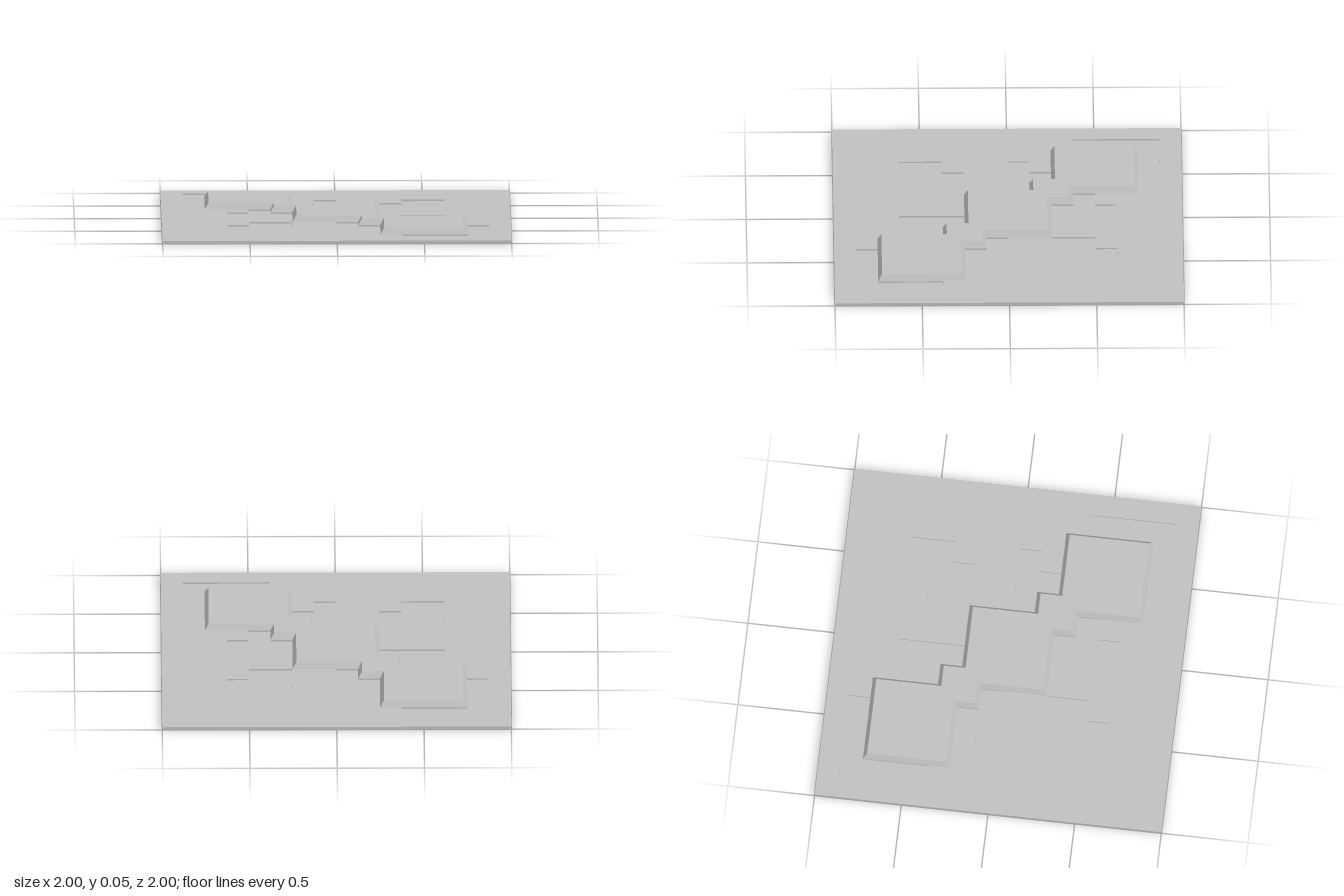
import * as THREE from 'three';

const FLOOR = 0.008, PLATE_TOP = 0.017, BOSS_TOP = 0.054, SLOPE = 0.022;

// Plan points are [x, z]; shapes are drawn with z flipped, then laid flat.
const toVectors = (points) => points.map(([x, z]) => new THREE.Vector2(x, -z));
const halfTurn = (points) => points.map(([x, z]) => [-x, -z]);

function layFlat(shape, bottom, top) {
  const geometry = new THREE.ExtrudeGeometry(shape, { depth: top - bottom, bevelEnabled: false });
  geometry.rotateX(-Math.PI / 2);
  geometry.translate(0, bottom, 0);
  return geometry;
}

// Half of the stepped chain of squares; the other half is its half turn
const chainHalf = [
  [-0.75, -0.75], [-0.75, -0.25], [-0.375, -0.25], [-0.375, -0.125], [-0.25, -0.125],
  [-0.25, 0.25], [0.125, 0.25], [0.125, 0.375], [0.25, 0.375], [0.25, 0.75],
];

// Shallow recesses beside the chain; each is repeated by a half turn
const recesses = [
  [[-0.375, -0.75], [-0.375, -0.875], [-0.875, -0.875], [-0.875, -0.375], [-0.75, -0.375], [-0.75, -0.75]],
  [[-0.25, 0], [-0.625, 0], [-0.625, -0.125], [-0.5, -0.125], [-0.5, -0.25], [-0.375, -0.25],
    [-0.375, -0.125], [-0.25, -0.125]],
  [[-0.25, 0.25], [-0.5, 0.25], [-0.5, 0.375], [-0.625, 0.375], [-0.625, 0.625], [-0.375, 0.625],
    [-0.375, 0.5], [-0.25, 0.5]],
  [[0, 0.25], [0, 0.625], [0.125, 0.625], [0.125, 0.5], [0.25, 0.5], [0.25, 0.375],
    [0.125, 0.375], [0.125, 0.25]],
];

// Raised block whose top outline is drawn inwards to give sloping sides
function bossGeometry() {
  const outline = toVectors([...chainHalf, ...halfTurn(chainHalf)]);
  const n = outline.length;
  const inward = outline.map((p, i) => {
    const d = outline[(i + 1) % n].clone().sub(p).normalize();
    return new THREE.Vector2(-d.y, d.x);
  });
  const geometry = layFlat(new THREE.Shape(outline), PLATE_TOP, BOSS_TOP);
  const pos = geometry.attributes.position;
  for (let v = 0; v < pos.count; v++) {
    if (pos.getY(v) < BOSS_TOP - 0.001) continue;
    const x = pos.getX(v), y = -pos.getZ(v);
    const i = outline.findIndex((p) => Math.hypot(p.x - x, p.y - y) < 0.001);
    const shift = inward[i].clone().add(inward[(i + n - 1) % n]).multiplyScalar(SLOPE);
    pos.setX(v, x + shift.x);
    pos.setZ(v, -(y + shift.y));
  }
  geometry.computeVertexNormals();
  return geometry;
}

export function createModel() {
  const group = new THREE.Group();
  group.name = 'reliefPanel';
  const grey = new THREE.MeshStandardMaterial({ color: 0xbfbfbf });
  grey.name = 'grey';
  const add = (name, geometry) => {
    const mesh = new THREE.Mesh(geometry, grey);
    mesh.name = name;
    group.add(mesh);
  };

  // Solid sheet forming the underside and the recess floors
  const square = toVectors([[-1, -1], [-1, 1], [1, 1], [1, -1]]);
  add('basePlate', layFlat(new THREE.Shape(square), 0, FLOOR));

  // Upper sheet cut through by the recesses
  const sheet = new THREE.Shape(square);
  for (const recess of recesses) {
    for (const points of [recess, halfTurn(recess)]) sheet.holes.push(new THREE.Path(toVectors(points)));
  }
  add('recessedSheet', layFlat(sheet, FLOOR, PLATE_TOP));

  add('raisedChain', bossGeometry());
  return group;
}
